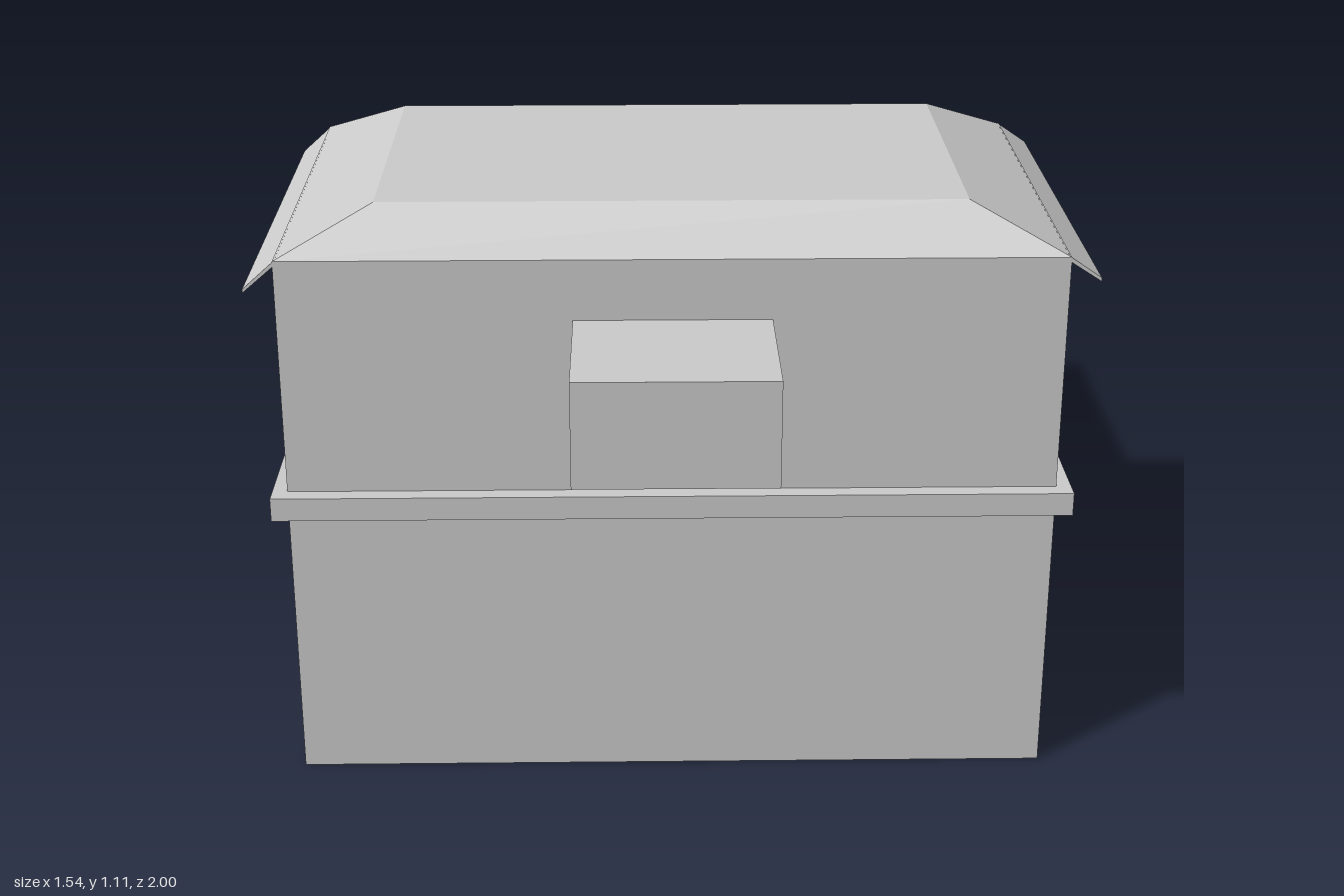
import * as THREE from 'three';

const HW = 0.712, FRONT = 0.708, BACK = -0.15; // house footprint
const D = 0.015; // depth of door and window recesses

export function createModel() {
  const group = new THREE.Group();
  const material = new THREE.MeshStandardMaterial({ color: 0xcccccc });
  material.name = 'plain grey';

  const add = (name, geometry) => {
    const mesh = new THREE.Mesh(geometry, material);
    mesh.name = name;
    group.add(mesh);
    return mesh;
  };
  const box = (name, x0, x1, y0, y1, z0, z1) =>
    add(name, new THREE.BoxGeometry(x1 - x0, y1 - y0, z1 - z0)
      .translate((x0 + x1) / 2, (y0 + y1) / 2, (z0 + z1) / 2));
  const extrude = (shape, depth) =>
    new THREE.ExtrudeGeometry(shape, { depth, bevelEnabled: false });
  const polygon = (pts) => new THREE.Shape(pts.map(([x, y]) => new THREE.Vector2(x, y)));

  // Wall sheet with a door notch [u0, u1, top] and/or a window hole [u0, u1, y0, y1]
  const wallSheet = (u0, u1, y0, y1, door, win) => {
    const pts = [[u0, y0]];
    if (door) pts.push([door[0], y0], [door[0], door[2]], [door[1], door[2]], [door[1], y0]);
    pts.push([u1, y0], [u1, y1], [u0, y1]);
    const shape = polygon(pts);
    if (win) {
      const [a, b, c, d] = win;
      shape.holes.push(polygon([[a, c], [a, d], [b, d], [b, c]]));
    }
    return extrude(shape, D);
  };
  // Turns a (z, y) profile so that it spans from x - depth to x
  const sideways = (geometry, x) => geometry.rotateY(-Math.PI / 2).translate(x, 0, 0);

  // Each storey: a core with wall sheets around its recessed openings
  const storey = (name, y0, y1, rightDoor, leftDoor, backDoor, win) => {
    box(name + 'Core', -HW + D, HW - D, y0, y1, BACK + D, FRONT);
    add(name + 'LeftWall', sideways(wallSheet(BACK, FRONT, y0, y1, rightDoor, win), HW));
    add(name + 'RightWall', sideways(wallSheet(BACK, FRONT, y0, y1, leftDoor, win), -HW + D));
    add(name + 'BackWall', wallSheet(-HW + D, HW - D, y0, y1, backDoor).translate(0, 0, BACK));
  };
  storey('lower', 0, 0.54, [0.33, 0.53, 0.28], [-0.09, 0.11, 0.28], [-0.03, 0.17, 0.28]);
  storey('upper', 0.585, 1.035, null, null, [0.23, 0.43, 0.87], [0.16, 0.47, 0.72, 0.92]);

  // Floor slab reaching back over the carport
  box('floorSlab', -0.74, 0.74, 0.54, 0.585, -1, 0.74);

  // Terrace parapet
  box('parapetBack', -HW, HW, 0.585, 0.70, -0.972, -0.925);
  box('parapetRight', -HW, -0.665, 0.585, 0.70, -0.925, BACK);
  box('parapetLeft', 0.652, HW, 0.585, 0.70, -0.925, BACK);

  // Projecting front bay
  box('frontBay', -0.18, 0.18, 0.722, 0.92, FRONT, 1);

  // Columns with feet flaring front and back
  const column = [[-0.972, 0.54], [-0.972, 0.045], [-0.998, 0.01], [-0.893, 0.01], [-0.92, 0.045], [-0.92, 0.54]];
  for (const [name, x] of [['columnRight', -0.665], ['columnLeft', 0.71]]) {
    add(name, sideways(extrude(polygon(column), 0.052), x));
  }

  // Hipped roof with a flat top
  const ring = (x, y, z0, z1) => [[-x, y, z1], [x, y, z1], [x, y, z0], [-x, y, z0]];
  const low = ring(HW, 1.035, BACK - 0.002, FRONT), top = ring(0.54, 1.11, -0.045, 0.6);
  const pos = [];
  const quad = (a, b, c, d) => pos.push(...a, ...b, ...c, ...a, ...c, ...d);
  for (let i = 0; i < 4; i++) {
    const j = (i + 1) % 4;
    quad(low[i], low[j], top[j], top[i]);
  }
  quad(...top);
  const roof = new THREE.BufferGeometry();
  roof.setAttribute('position', new THREE.Float32BufferAttribute(pos, 3));
  roof.computeVertexNormals();
  add('roof', roof);

  // Thin sloping eaves on both sides
  for (const [name, s, drop] of [['eaveRight', -1, 0.983], ['eaveLeft', 1, 0.996]]) {
    const eave = [[s * 0.708, 1.037], [s * 0.768, drop], [s * 0.768, drop - 0.007], [s * 0.708, 1.028]];
    add(name, extrude(polygon(eave), FRONT - BACK).translate(0, 0, BACK));
  }
  return group;
}
